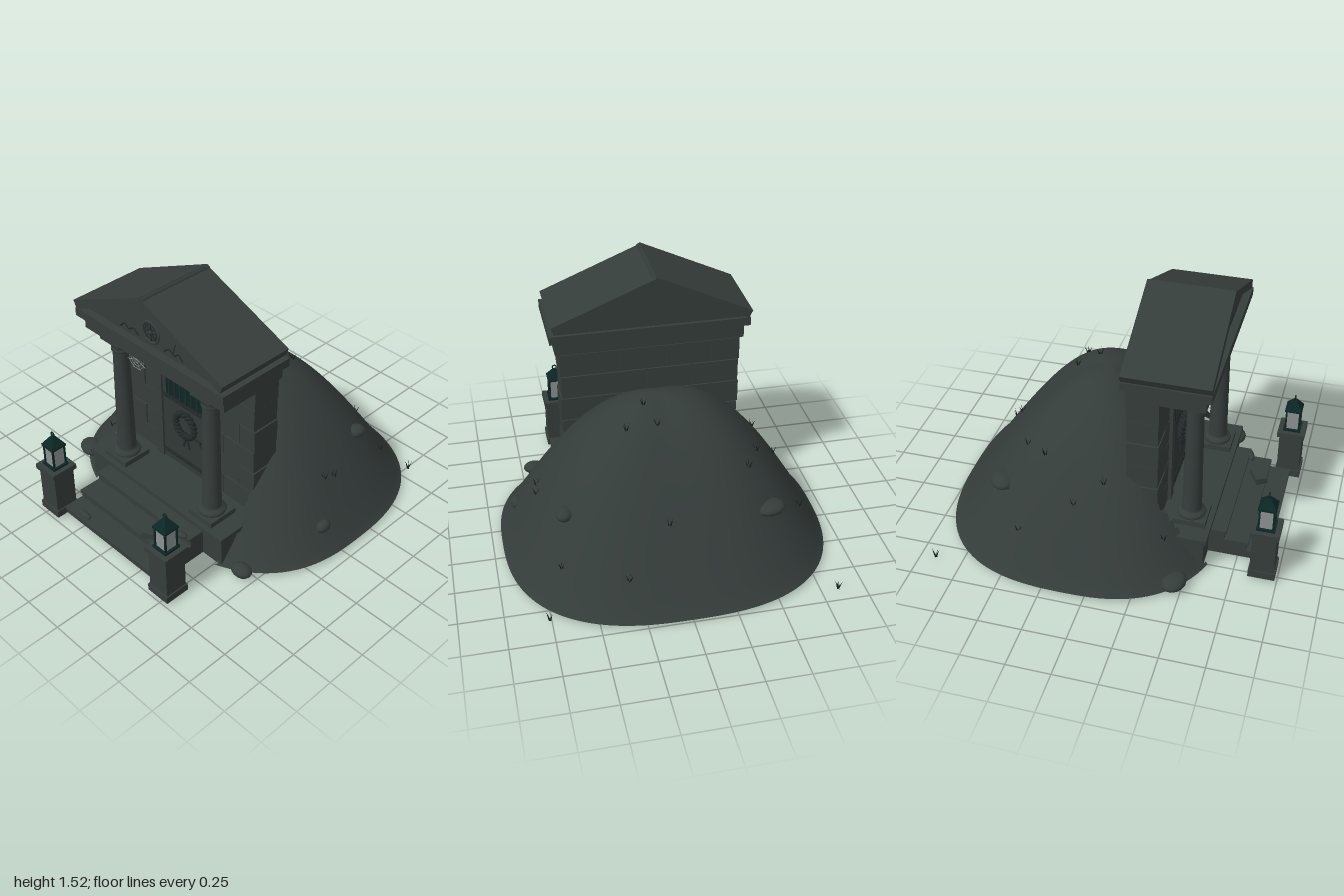
import * as THREE from 'three';

const mat = (name, color, side = THREE.FrontSide) =>
  Object.assign(new THREE.MeshStandardMaterial({ color, side }), { name });

// Mound height: superellipse footprint with a bell profile, fuller sideways
const CZ = -0.12, AX = 0.945, BACK = 0.88, FRONT = 0.79, N = 2.6;
function moundHeight(x, z) {
  const u = Math.abs(x) / AX, v = Math.abs(z - CZ) / (z > CZ ? FRONT : BACK);
  const f = Math.min(1, Math.pow(u ** N + v ** N, 1 / N));
  const p = 1.7 + 0.5 * u * u / (u * u + v * v + 1e-6);
  return 0.02 + 0.91 * Math.pow(Math.max(0, 1 - f ** p), 1.2);
}

function moundGeometry(rings = 64, segs = 160) {
  const pos = [], idx = [];
  for (let r = 0; r <= rings; r++) for (let s = 0; s < segs; s++) {
    const a = s / segs * Math.PI * 2, c = Math.cos(a), d = Math.sin(a), f = r / rings;
    const x = Math.sign(c) * Math.abs(c) ** (2 / N) * AX * f;
    const z = CZ + Math.sign(d) * Math.abs(d) ** (2 / N) * (d > 0 ? FRONT : BACK) * f;
    pos.push(x, moundHeight(x, z), z);
  }
  // leave an opening where the building stands
  const tri = (...t) => {
    const x = t.reduce((m, i) => m + pos[i * 3] / 3, 0);
    const z = t.reduce((m, i) => m + pos[i * 3 + 2] / 3, 0);
    if (!(Math.abs(x) < 0.52 && z > 0.17)) idx.push(...t);
  };
  for (let r = 0; r < rings; r++) for (let s = 0; s < segs; s++) {
    const n = (s + 1) % segs, a = r * segs + s, b = r * segs + n;
    if (r > 0) tri(a, b, b + segs);
    tri(a, b + segs, a + segs);
  }
  const g = new THREE.BufferGeometry();
  g.setAttribute('position', new THREE.Float32BufferAttribute(pos, 3));
  g.setIndex(idx);
  g.computeVertexNormals();
  return g;
}

export function createModel() {
  const root = new THREE.Group();
  root.name = 'hillsideTomb';
  const stone = mat('stone', 0x353d3b);
  const earth = mat('earth', 0x343c3a, THREE.DoubleSide);
  const doorMat = mat('door', 0x303836);
  const iron = mat('iron', 0x232b2a);
  const teal = mat('darkTealMetal', 0x0b2725);
  const glass = mat('lanternGlass', 0x8b908f);
  const webMat = mat('web', 0x8f9594, THREE.DoubleSide);
  const grassMat = mat('grass', 0x171d1c, THREE.DoubleSide);

  const add = (name, geo, m, x = 0, y = 0, z = 0, parent = root) => {
    const mesh = new THREE.Mesh(geo, m);
    mesh.name = name;
    mesh.position.set(x, y, z);
    parent.add(mesh);
    return mesh;
  };
  // box given by its limits
  const box = (name, m, x0, x1, y0, y1, z0, z1, parent = root) =>
    add(name, new THREE.BoxGeometry(x1 - x0, y1 - y0, z1 - z0), m,
      (x0 + x1) / 2, (y0 + y1) / 2, (z0 + z1) / 2, parent);
  const prism = (name, pts, z0, z1) => add(name, new THREE.ExtrudeGeometry(
    new THREE.Shape(pts.map(p => new THREE.Vector2(...p))),
    { depth: z1 - z0, bevelEnabled: false }), stone, 0, 0, z0);
  const tube = (name, m, pts, r, parent = root) => add(name, new THREE.TubeGeometry(
    new THREE.CatmullRomCurve3(pts.map(p => new THREE.Vector3(...p))), 20, r, 5), m, 0, 0, 0, parent);

  add('mound', moundGeometry(), earth);

  // Platform and steps
  box('platform', stone, -0.55, 0.55, 0.02, 0.195, 0.13, 0.58);
  box('platformSlab', stone, -0.56, 0.56, 0.195, 0.225, 0.13, 0.595);
  [[0.07, 0.93], [0.125, 0.81], [0.18, 0.68]].forEach(([y, z]) => {
    box('step', stone, -0.4, 0.4, 0.02, y - 0.02, 0.58, z - 0.01);
    box('stepTread', stone, -0.4, 0.4, y - 0.02, y, 0.58, z);
  });

  // Walls of staggered blocks around a core
  box('wallCore', stone, -0.515, 0.515, 0.22, 1.086, 0.14, 0.297);
  const rows = 6, h = (1.086 - 0.22) / rows;
  for (let r = 0; r < rows; r++) {
    const cuts = r % 2 ? [-0.53, -0.36, -0.09, 0.18, 0.41, 0.53] : [-0.525, -0.25, 0.02, 0.29, 0.525];
    for (let i = 0; i + 1 < cuts.length; i++)
      box('wallBlock', stone, cuts[i] + 0.003, cuts[i + 1] - 0.003,
        0.22 + r * h + 0.003, 0.22 + (r + 1) * h - 0.003, 0.13, 0.304 + 0.004 * ((r + i) % 2));
  }

  // Entablature, gable and roof
  box('architrave', stone, -0.55, 0.55, 1.086, 1.168, 0.13, 0.56);
  box('cornice', stone, -0.583, 0.58, 1.168, 1.218, 0.11, 0.595);
  prism('gable', [[-0.55, 1.217], [0.55, 1.217], [0, 1.475]], 0.13, 0.55);
  prism('roofLeftSlab', [[-0.594, 1.262], [-0.572, 1.217], [0, 1.47], [-0.03, 1.525]], 0.11, 0.595);
  prism('roofRightSlab', [[-0.025, 1.515], [-0.01, 1.465], [0.552, 1.225], [0.57, 1.272]], 0.11, 0.59);
  tube('ridgeRoll', stone, [[-0.025, 1.508, 0.11], [-0.025, 1.508, 0.59]], 0.016);

  // Gable ornament
  const wheel = new THREE.Group();
  wheel.name = 'gableWheel';
  wheel.position.set(0, 1.31, 0.552);
  root.add(wheel);
  add('wheelRim', new THREE.TorusGeometry(0.062, 0.008, 8, 32), stone, 0, 0, 0, wheel);
  add('wheelInnerRim', new THREE.TorusGeometry(0.046, 0.004, 6, 28), iron, 0, 0, 0, wheel);
  add('wheelHub', new THREE.SphereGeometry(0.013, 12, 8), stone, 0, 0, 0, wheel);
  for (let i = 0; i < 4; i++)
    add('wheelSpoke', new THREE.BoxGeometry(0.11, 0.008, 0.008), iron, 0, 0, 0, wheel).rotation.z = i * Math.PI / 4;
  for (const s of [-1, 1])
    tube('gableScroll', iron, [[s * 0.1, 1.24, 0.552], [s * 0.14, 1.27, 0.552], [s * 0.18, 1.25, 0.552],
      [s * 0.21, 1.27, 0.552], [s * 0.245, 1.24, 0.552]], 0.005);
  tube('gableCrack', iron, [[0.17, 1.26, 0.55], [0.185, 1.31, 0.55], [0.215, 1.35, 0.55]], 0.003);

  // Columns
  const profile = [[0.0, 0.255], [0.078, 0.255], [0.083, 0.268], [0.076, 0.282], [0.06, 0.288], [0.056, 0.3],
    [0.053, 0.5], [0.047, 0.985], [0.055, 0.992], [0.055, 1.002], [0.049, 1.008], [0.055, 1.03],
    [0.072, 1.05], [0.075, 1.06], [0, 1.06]].map(p => new THREE.Vector2(...p));
  for (const s of [-1, 1]) {
    const x = s * 0.362, z = 0.47;
    box('columnPlinth', stone, x - 0.09, x + 0.09, 0.22, 0.258, z - 0.095, z + 0.095);
    add('column', new THREE.LatheGeometry(profile, 32), stone, x, 0, z);
    box('columnAbacus', stone, x - 0.079, x + 0.079, 1.058, 1.088, z - 0.079, z + 0.079);
  }

  // Doorway and door
  for (const s of [-1, 1]) {
    const x = s * 0.23;
    box('doorJamb', stone, x - 0.03, x + 0.03, 0.225, 0.944, 0.28, 0.324);
  }
  box('lintel', stone, -0.3, 0.28, 0.944, 1.03, 0.28, 0.326);
  box('keystone', stone, -0.036, 0.036, 0.95, 1.015, 0.28, 0.336);
  box('doorPanel', doorMat, -0.2, 0.2, 0.225, 0.94, 0.28, 0.312);
  box('doorWindow', teal, -0.172, 0.165, 0.7, 0.882, 0.31, 0.314);
  for (let i = 0; i < 7; i++)
    add('windowBar', new THREE.CylinderGeometry(0.006, 0.006, 0.182, 8), iron, -0.14 + i * 0.046, 0.791, 0.318);
  box('brokenBoard', doorMat, -0.195, -0.04, 0.828, 0.852, 0.314, 0.328);
  for (const y of [0.685, 0.28]) {
    box('doorBand', iron, -0.195, 0.195, y - 0.014, y + 0.014, 0.31, 0.316);
    for (let i = 0; i < 5; i++)
      add('rivet', new THREE.SphereGeometry(0.007, 8, 6), iron, -0.17 + i * 0.085, y, 0.317);
  }
  box('latchPlate', iron, 0.07, 0.16, 0.485, 0.497, 0.31, 0.318);
  add('doorRing', new THREE.TorusGeometry(0.022, 0.005, 8, 20), iron, 0.135, 0.487, 0.321);

  // Wreath of two twisted strands with ribbon tails
  for (let k = 0; k < 2; k++) {
    const pts = [];
    for (let i = 0; i < 60; i++) {
      const a = i / 60 * Math.PI * 2, t = a * 9 + k * Math.PI, R = 0.076 + 0.011 * Math.cos(t);
      pts.push(new THREE.Vector3(R * Math.cos(a), R * Math.sin(a), 0.011 * Math.sin(t)));
    }
    add('wreathStrand', new THREE.TubeGeometry(new THREE.CatmullRomCurve3(pts, true), 160, 0.011, 6, true),
      iron, 0, 0.563, 0.332);
  }
  for (const s of [-1, 1])
    add('ribbonTail', new THREE.BoxGeometry(0.014, 0.085, 0.006), iron, s * 0.014, 0.435, 0.322).rotation.z = s * 0.28;

  // Pedestals with lanterns
  for (const s of [-1, 1]) {
    const g = new THREE.Group();
    g.name = 'lanternPedestal';
    g.position.set(s * 0.472, 0, 0.912);
    root.add(g);
    const sq = (name, m, w, y0, y1) => box(name, m, -w, w, y0, y1, -w, w, g);
    sq('pedestalBody', stone, 0.068, 0.02, 0.312);
    sq('pedestalFoot', stone, 0.076, 0.02, 0.065);
    sq('pedestalCap', stone, 0.082, 0.31, 0.343);
    sq('lanternBase', teal, 0.052, 0.343, 0.356);
    sq('lanternGlass', glass, 0.038, 0.356, 0.482);
    sq('lanternTop', teal, 0.05, 0.48, 0.492);
    for (const x of [-0.04, 0.04]) for (const z of [-0.04, 0.04])
      box('lanternPost', teal, x - 0.005, x + 0.005, 0.356, 0.482, z - 0.005, z + 0.005, g);
    add('lanternRoof', new THREE.CylinderGeometry(0.012, 0.072, 0.06, 4, 1).toNonIndexed(), teal, 0, 0.521, 0, g)
      .rotation.y = Math.PI / 4;
    g.children.at(-1).geometry.computeVertexNormals();
    add('lanternRing', new THREE.TorusGeometry(0.013, 0.004, 6, 16), teal, 0, 0.562, 0, g);
  }

  // Rubble on the steps
  const slab = add('fallenSlab', new THREE.BoxGeometry(0.115, 0.04, 0.07), stone, 0.19, 0.148, 0.765);
  slab.rotation.y = 0.5;
  const chip = (name, x, y, z, w, t, d, ry = 0) => {
    const m = add(name, new THREE.SphereGeometry(1, 14, 10), stone, x, y, z);
    m.scale.set(w, t, d);
    m.rotation.y = ry;
  };
  chip('rubble', 0.33, 0.185, 0.69, 0.05, 0.018, 0.02, 0.3);
  chip('rubble', -0.26, 0.075, 0.895, 0.05, 0.02, 0.02);

  // Boulders on the mound: x, z, half width, half depth
  [[-0.735, 0.46, 0.085, 0.065], [0.675, 0.55, 0.066, 0.05], [-0.53, -0.595, 0.09, 0.07],
    [0.61, -0.46, 0.05, 0.062], [0.835, 0.06, 0.034, 0.05]].forEach(([x, z, w, d], i) =>
    chip('boulder', x, Math.max(moundHeight(x, z), 0.055), z, w, 0.036, d, (i % 3 - 1) * 0.35));

  // Grass tufts
  const blade = new THREE.BufferGeometry();
  blade.setAttribute('position', new THREE.Float32BufferAttribute(
    [-0.007, 0, 0, 0.007, 0, 0, 0.02, 0.055, 0.008], 3));
  blade.computeVertexNormals();
  [[-0.85, -0.91], [0.32, -0.83], [0.76, -0.83], [0.07, -0.69], [0.66, -0.65], [-0.76, -0.43], [-0.43, -0.47],
    [-0.51, -0.34], [0.06, -0.32], [0.23, -0.31], [0.11, -0.2], [-0.68, -0.13], [0.73, -0.14], [0.72, -0.07],
    [-0.59, 0.02], [-0.615, 0.37]].forEach(([x, z], i) => {
    for (let k = 0; k < 4; k++)
      add('grassBlade', blade, grassMat, x, moundHeight(x, z) - 0.015, z).rotation.y = i * 1.3 + k * 1.7;
  });

  // Cobweb under the architrave
  const web = new THREE.Group();
  web.name = 'cobweb';
  web.position.set(-0.195, 1.015, 0.5);
  root.add(web);
  const strand = (x0, y0, x1, y1) =>
    add('webStrand', new THREE.BoxGeometry(Math.hypot(x1 - x0, y1 - y0), 0.002, 0.002), webMat,
      (x0 + x1) / 2, (y0 + y1) / 2, 0, web).rotation.z = Math.atan2(y1 - y0, x1 - x0);
  for (let i = 0; i < 8; i++) {
    const a = i * Math.PI / 4 + 0.4, b = a + Math.PI / 4;
    strand(0, 0, Math.cos(a) * 0.078, Math.sin(a) * 0.07);
    for (const r of [0.025, 0.045, 0.065])
      strand(Math.cos(a) * r, Math.sin(a) * r, Math.cos(b) * r, Math.sin(b) * r);
  }
  return root;
}
